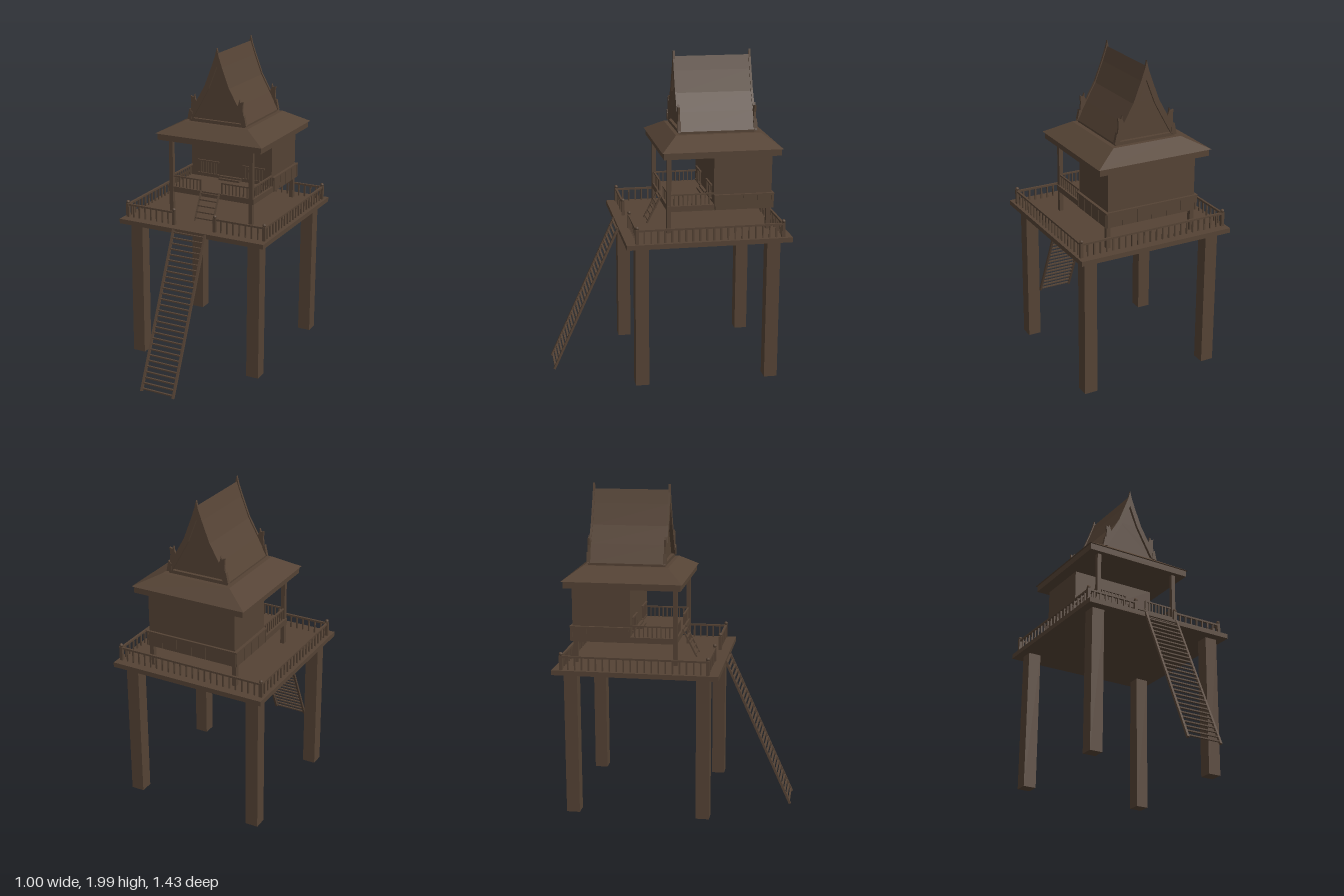
import * as THREE from 'three';

const wood = new THREE.MeshStandardMaterial({ color: 0x554335 });
wood.name = 'brown wood';

function add(parent, geometry, name) {
  const mesh = new THREE.Mesh(geometry, wood);
  mesh.name = name;
  parent.add(mesh);
  return mesh;
}

// Box given by its limits on each axis
function box(parent, name, x0, x1, y0, y1, z0, z1) {
  const m = add(parent, new THREE.BoxGeometry(x1 - x0, y1 - y0, z1 - z0), name);
  m.position.set((x0 + x1) / 2, (y0 + y1) / 2, (z0 + z1) / 2);
  return m;
}

function group(parent, name) {
  const g = new THREE.Group();
  g.name = name;
  parent.add(g);
  return g;
}

// Square bar between two points
function bar(parent, name, a, b, w, h) {
  const d = b.clone().sub(a);
  const m = add(parent, new THREE.BoxGeometry(w, h, d.length()), name);
  m.position.copy(a).addScaledVector(d, 0.5);
  m.lookAt(b);
  return m;
}

// Straight railing with a handrail and evenly spaced balusters
function railing(parent, name, [x0, z0], [x1, z1], y0, y1, spacing, w) {
  const g = group(parent, name);
  const a = new THREE.Vector3(x0, y1 - w * 0.7, z0), b = new THREE.Vector3(x1, y1 - w * 0.7, z1);
  bar(g, 'handrail', a, b, w * 1.5, w * 1.3);
  const n = Math.round(a.distanceTo(b) / spacing);
  for (let i = 1; i < n; i++) {
    const p = a.clone().lerp(b, i / n);
    box(g, 'baluster', p.x - w / 2, p.x + w / 2, y0, y1 - w, p.z - w / 2, p.z + w / 2);
  }
}

// Ladder leaning from a bottom (z, y) to a top (z, y)
function ladder(parent, name, halfWidth, bottom, top, rungs, w) {
  const g = group(parent, name);
  for (const s of [-1, 1]) {
    bar(g, 'ladderRail', new THREE.Vector3(s * halfWidth, bottom[1], bottom[0]),
      new THREE.Vector3(s * halfWidth, top[1], top[0]), w, w);
  }
  for (let i = 0; i < rungs; i++) {
    const t = (i + 0.5) / rungs;
    const z = bottom[0] + (top[0] - bottom[0]) * t, y = bottom[1] + (top[1] - bottom[1]) * t;
    box(g, 'rung', -halfWidth, halfWidth, y - 0.004, y + 0.004, z - 0.006, z + 0.006);
  }
}

// Extruded outline between two z planes
function slab(parent, name, points, z0, z1) {
  const shape = new THREE.Shape(points.map(([x, y]) => new THREE.Vector2(x, y)));
  const m = add(parent, new THREE.ExtrudeGeometry(shape, { depth: z1 - z0, bevelEnabled: false }), name);
  m.position.z = z0;
  return m;
}

// Mirrors a half profile, listed from apex to eave
const mirrored = (half) => [...half.slice().reverse(), ...half.slice(1).map(([x, y]) => [-x, y])];

// Band between an outer and an inner half profile
const band = (outer, inner) => [...mirrored(outer), ...mirrored(inner).reverse()];

export function createModel() {
  const model = new THREE.Group();
  model.name = 'stiltHouse';

  // Deck on four tall legs
  box(model, 'deck', -0.5, 0.5, 0.9, 0.93, -0.715, 0.295);
  for (const x of [-0.41, 0.41]) {
    for (const z of [-0.61, 0.197]) box(model, 'leg', x - 0.041, x + 0.041, 0.01, 0.9, z - 0.041, z + 0.041);
  }
  ladder(model, 'mainLadder', 0.11, [0.712, 0.008], [0.295, 0.925], 29, 0.014);

  // Deck railing with ball-topped posts
  const R = 0.475, zf = 0.23, zb = -0.66, gate = 0.143;
  for (const s of [-1, 1]) {
    railing(model, 'sideDeckRailing', [s * R, zb], [s * R, zf], 0.93, 1.017, 0.042, 0.009);
    railing(model, 'frontDeckRailing', [s * gate, zf], [s * R, zf], 0.93, 1.017, 0.042, 0.009);
    for (const [x, z] of [[s * R, zb], [s * R, zf], [s * gate, zf]]) {
      box(model, 'railingPost', x - 0.01, x + 0.01, 0.93, 1.02, z - 0.01, z + 0.01);
      add(model, new THREE.SphereGeometry(0.012, 8, 6), 'postBall').position.set(x, 1.028, z);
    }
  }
  railing(model, 'backDeckRailing', [-R, zb], [R, zb], 0.93, 1.017, 0.042, 0.009);

  // Raised house floor, posts and room
  const house = group(model, 'house');
  box(house, 'floor', -0.3, 0.3, 1.065, 1.1, -0.63, 0.018);
  for (const s of [-1, 1]) {
    box(house, 'frontPost', s * 0.28 - 0.013, s * 0.28 + 0.013, 0.93, 1.41, -0.006, 0.02);
    box(house, 'backPost', s * 0.28 - 0.013, s * 0.28 + 0.013, 0.93, 1.07, -0.625, -0.597);
  }
  box(house, 'room', -0.288, 0.288, 1.09, 1.41, -0.63, -0.27);

  // Panelled skirting round the room
  for (const s of [-1, 1]) {
    const m = box(house, 'sideSkirting', -0.006, 0.006, 1.065, 1.155, -0.64, -0.27);
    m.position.x = s * 0.297;
    for (let i = 0; i < 5; i++) {
      const z = -0.632 + i * 0.088;
      box(house, 'skirtingStrip', s * 0.303 - 0.003, s * 0.303 + 0.003, 1.067, 1.155, z - 0.004, z + 0.004);
    }
    box(house, 'skirtingCap', s * 0.298 - 0.009, s * 0.298 + 0.009, 1.15, 1.16, -0.642, -0.27);
  }
  box(house, 'backSkirting', -0.3, 0.3, 1.065, 1.155, -0.64, -0.628);
  box(house, 'backSkirtingCap', -0.306, 0.306, 1.15, 1.16, -0.644, -0.628);
  for (let i = 0; i < 7; i++) {
    const x = -0.294 + i * 0.098;
    box(house, 'backSkirtingStrip', x - 0.004, x + 0.004, 1.067, 1.155, -0.643, -0.638);
  }

  // Porch railing, barred windows and door step
  for (const s of [-1, 1]) {
    railing(house, 'porchSideRailing', [s * 0.285, -0.27], [s * 0.285, 0], 1.1, 1.172, 0.026, 0.007);
    railing(house, 'porchFrontRailing', [s * 0.075, 0.005], [s * 0.275, 0.005], 1.1, 1.172, 0.026, 0.007);
    box(house, 'porchGatePost', s * 0.075 - 0.005, s * 0.075 + 0.005, 1.1, 1.172, 0, 0.01);
    railing(house, 'windowBars', [s * 0.085, -0.264], [s * 0.24, -0.264], 1.12, 1.212, 0.02, 0.007);
    box(house, 'windowSill', s * 0.1625 - 0.078, s * 0.1625 + 0.078, 1.118, 1.126, -0.27, -0.258);
  }
  box(house, 'doorStep', -0.075, 0.075, 1.1, 1.112, -0.27, -0.235);
  box(house, 'upperDoorStep', -0.075, 0.075, 1.112, 1.124, -0.27, -0.252);
  ladder(house, 'porchLadder', 0.063, [0.108, 0.932], [0.018, 1.105], 5, 0.01);

  // Lower hipped roof
  const roof = group(model, 'roof');
  box(roof, 'eaveFascia', -0.36, 0.36, 1.405, 1.445, -0.668, 0.05);
  const hip = box(roof, 'hippedRoof', -0.37, 0.37, 1.44, 1.52, -0.678, 0.06);
  const p = hip.geometry.attributes.position;
  for (let i = 0; i < p.count; i++) {
    if (p.getY(i) > 0) p.setXYZ(i, p.getX(i) * 0.6, p.getY(i), p.getZ(i) * 0.71);
    else p.setY(i, p.getY(i) + 0.006);
  }
  hip.geometry.computeVertexNormals();
  box(roof, 'roofCollar', -0.195, 0.195, 1.515, 1.54, -0.545, -0.07);

  // Steep curved gable roof with recessed gable ends
  const outer = [[0, 1.965], [0.03, 1.88], [0.08, 1.752], [0.14, 1.645], [0.2, 1.535]];
  const inner = [[0, 1.9], [0.06, 1.75], [0.12, 1.64], [0.178, 1.535]];
  slab(roof, 'gableRoof', band(outer, inner), -0.54, -0.075);
  slab(roof, 'gableCore', mirrored(inner.map(([x, y]) => [x * 1.05, y + 0.004])), -0.525, -0.09);

  // Bargeboards, spire tips and upturned eave horns at both gables
  const tip = [[0, 2], [0.012, 1.95], [0.035, 1.885], [0.084, 1.758], [0.146, 1.648], [0.206, 1.535]];
  const under = [[0, 1.885], [0.057, 1.74], [0.115, 1.635], [0.172, 1.535]];
  const horn = [[0.14, 1.625], [0.145, 1.655], [0.152, 1.672], [0.155, 1.697], [0.163, 1.676],
    [0.182, 1.683], [0.178, 1.64], [0.185, 1.575], [0.165, 1.585]];
  const foot = [[0.175, 1.535], [0.205, 1.53], [0.19, 1.6], [0.17, 1.58]];
  for (const z of [-0.078, -0.55]) {
    slab(roof, 'bargeboard', band(tip, under), z, z + 0.013);
    for (const s of [-1, 1]) {
      slab(roof, 'eaveHorn', horn.map(([x, y]) => [s * x, y]), z, z + 0.013);
      slab(roof, 'hornFoot', foot.map(([x, y]) => [s * x, y]), z - 0.004, z + 0.017);
    }
  }
  return model;
}
